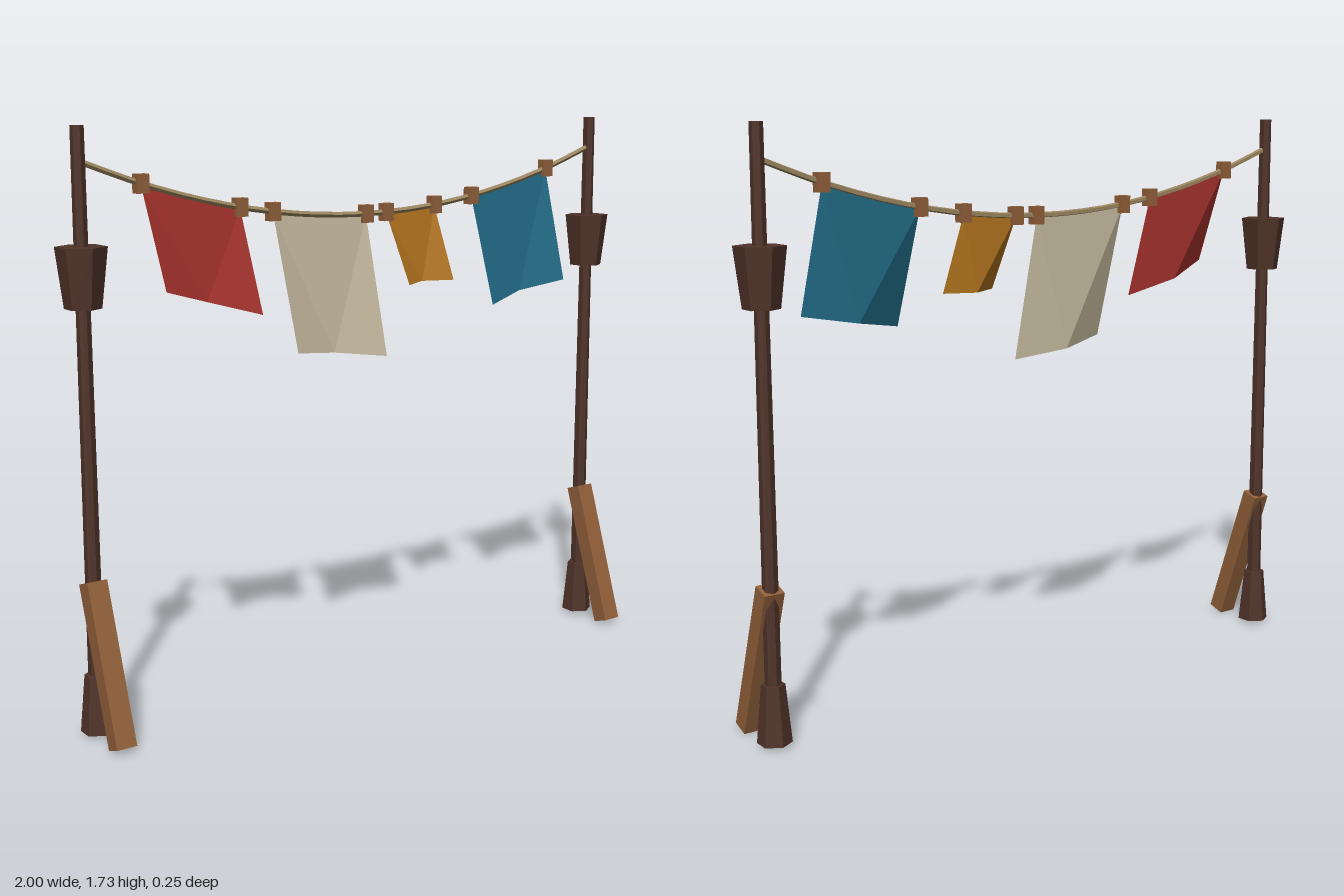
import * as THREE from 'three';

const LINE_Z = -0.055, POST_X = 0.937;
const ropeY = (x) => 1.455 + 0.21 * x * x;

function material(name, color, extra = {}) {
  const m = new THREE.MeshStandardMaterial({ color, flatShading: true, ...extra });
  m.name = name;
  return m;
}

export function createModel() {
  const root = new THREE.Group();
  root.name = 'clothesline';

  const darkWood = material('dark wood', 0x4f3329);
  const wood = material('light wood', 0x91603a);
  const ropeMat = material('rope', 0x9c8660);
  const cloth = (name, color) => material(name, color, { side: THREE.DoubleSide });

  const add = (parent, name, geometry, mat, x, y, z) => {
    const mesh = new THREE.Mesh(geometry, mat);
    mesh.name = name;
    mesh.position.set(x, y, z);
    parent.add(mesh);
    return mesh;
  };

  // Posts with flared foot, tapered collar and leaning brace
  for (const side of [-1, 1]) {
    const post = new THREE.Group();
    post.name = side < 0 ? 'rightPost' : 'leftPost';
    post.position.x = side * POST_X;
    add(post, 'pole', new THREE.CylinderGeometry(0.019, 0.024, 1.72, 6), darkWood, 0, 0.875, LINE_Z);
    add(post, 'foot', new THREE.CylinderGeometry(0.034, 0.05, 0.172, 6), darkWood, 0, 0.099, LINE_Z);
    add(post, 'collar', new THREE.CylinderGeometry(0.0725, 0.052, 0.17, 6), darkWood, 0, 1.325, LINE_Z);
    const brace = add(post, 'brace', new THREE.BoxGeometry(0.062, 0.474, 0.056), wood, 0, 0.236, 0.022);
    brace.rotation.x = -0.331;
    root.add(post);
  }

  // Sagging rope
  const ropePoints = [];
  for (let i = 0; i <= 12; i++) {
    const x = POST_X * (i / 6 - 1);
    ropePoints.push(new THREE.Vector3(x, ropeY(x), LINE_Z));
  }
  add(root, 'rope', new THREE.TubeGeometry(new THREE.CatmullRomCurve3(ropePoints), 24, 0.009, 5), ropeMat, 0, 0, 0);

  // Cloths: top edge from x0 to x1, bottom corners [x, y], creased at the bottom middle
  const cloths = [
    ['red cloth', 0xab342e, -0.75, -0.432, [-0.72, 1.276], [-0.388, 1.182]],
    ['cream cloth', 0xcbbfa4, -0.32, 0.015, [-0.286, 1.062], [0.061, 1.016]],
    ['ochre cloth', 0xb87820, 0.092, 0.28, [0.125, 1.235], [0.323, 1.235]],
    ['teal cloth', 0x236e8a, 0.43, 0.745, [0.462, 1.147], [0.794, 1.203]],
  ];
  for (const [name, color, x0, x1, left, right] of cloths) {
    const bl = [...left, 0.022];
    const br = [...right, -0.008];
    const bm = [(left[0] + right[0]) / 2, (left[1] + right[1]) / 2, -0.042];
    const rim = [bl];
    for (let i = 0; i <= 4; i++) {
      const x = x0 + (x1 - x0) * i / 4;
      rim.push([x, ropeY(x) - 0.004, LINE_Z]);
    }
    rim.push(br);
    const corners = [];
    for (let i = 0; i < rim.length - 1; i++) corners.push(...bm, ...rim[i + 1], ...rim[i]);
    const geometry = new THREE.BufferGeometry();
    geometry.setAttribute('position', new THREE.Float32BufferAttribute(corners, 3));
    geometry.computeVertexNormals();
    add(root, name, geometry, cloth(name, color), 0, 0, 0);

    // Pegs at both top corners
    for (const x of [x0, x1]) {
      add(root, 'peg', new THREE.BoxGeometry(0.038, 0.054, 0.03), wood, x, ropeY(x), LINE_Z);
    }
  }
  return root;
}
